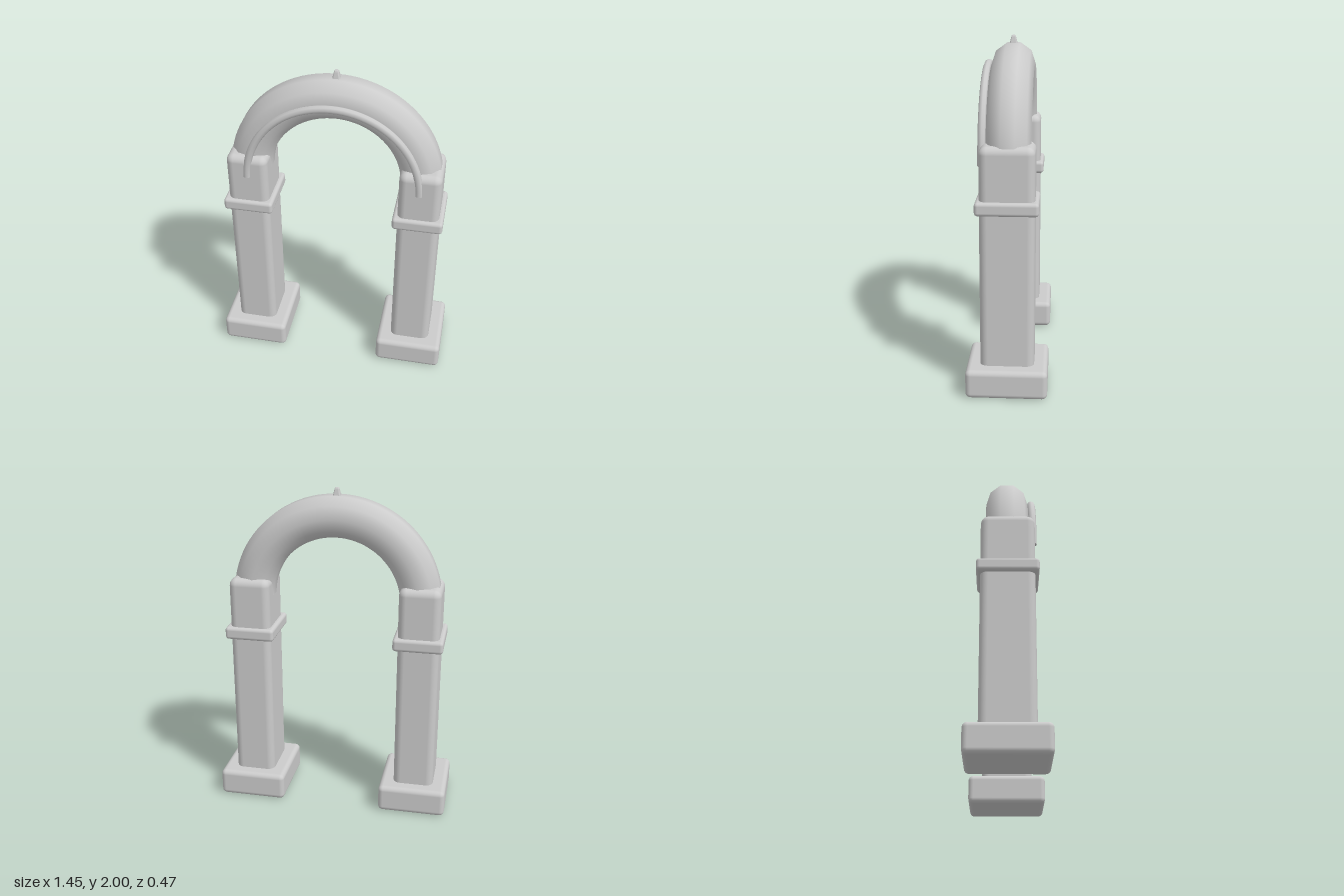
import * as THREE from 'three';
import { RoundedBoxGeometry } from 'three/addons/geometries/RoundedBoxGeometry.js';

const material = new THREE.MeshStandardMaterial({ color: 0xcccccc });
const SPRING_Y = 1.32; // height of the arch centre
const ARCH_R = 0.513;

function add(parent, name, geometry, x = 0, y = 0, z = 0) {
  const mesh = new THREE.Mesh(geometry, material);
  mesh.name = name;
  mesh.position.set(x, y, z);
  parent.add(mesh);
  return mesh;
}

// Rounded block given by its bottom and top heights
function block(parent, name, w, d, y0, y1, radius) {
  return add(parent, name, new RoundedBoxGeometry(w, y1 - y0, d, 3, radius), 0, (y0 + y1) / 2, 0);
}

// Half ring with its flat side down, plus end caps; vertices start on the z axis
function halfRing(parent, name, radius, tube, sides, z) {
  const group = new THREE.Group();
  group.name = name;
  group.position.set(0, SPRING_Y, z);
  const ring = new THREE.TorusGeometry(radius, tube, sides, 48, Math.PI);
  // turn the section by a quarter so a vertex faces front and back
  const p = ring.attributes.position, n = ring.attributes.normal;
  for (let j = 0, i = 0; j <= sides; j++) {
    const v = (j / sides) * Math.PI * 2 + Math.PI / 2;
    for (let k = 0; k <= 48; k++, i++) {
      const u = (k / 48) * Math.PI;
      const r = radius + tube * Math.cos(v);
      p.setXYZ(i, r * Math.cos(u), r * Math.sin(u), tube * Math.sin(v));
      n.setXYZ(i, Math.cos(v) * Math.cos(u), Math.cos(v) * Math.sin(u), Math.sin(v));
    }
  }
  add(group, name + 'Ring', ring);
  for (const s of [-1, 1]) {
    const cap = new THREE.CircleGeometry(tube, sides, Math.PI / 2).rotateX(Math.PI / 2);
    add(group, name + 'Cap', cap, s * radius, 0, 0);
  }
  parent.add(group);
}

export function createModel() {
  const model = new THREE.Group();
  model.name = 'archway';

  // Two pillars with a plinth and a band
  for (const side of [1, -1]) {
    const pillar = new THREE.Group();
    pillar.name = side > 0 ? 'leftPillar' : 'rightPillar';
    pillar.position.x = side * 0.516;
    block(pillar, 'plinth', 0.418, 0.47, 0, 0.17, 0.03);
    block(pillar, 'shaft', 0.25, 0.312, 0.08, 1.45, 0.045);
    block(pillar, 'band', 0.302, 0.357, 1.07, 1.147, 0.02);
    model.add(pillar);
  }

  // Main arch and the thin moulding on its front
  halfRing(model, 'arch', ARCH_R, 0.128, 10, -0.003);
  halfRing(model, 'moulding', ARCH_R, 0.023, 8, 0.147);

  // Small tapered finial on the crown
  const finial = new RoundedBoxGeometry(0.056, 0.07, 0.056, 3, 0.012);
  const p = finial.attributes.position;
  for (let i = 0; i < p.count; i++) {
    const s = 1 - 0.6 * (p.getY(i) / 0.07 + 0.5);
    p.setX(i, p.getX(i) * s);
    p.setZ(i, p.getZ(i) * s);
  }
  finial.computeVertexNormals();
  add(model, 'finial', finial, 0, 1.965, -0.003);

  return model;
}
